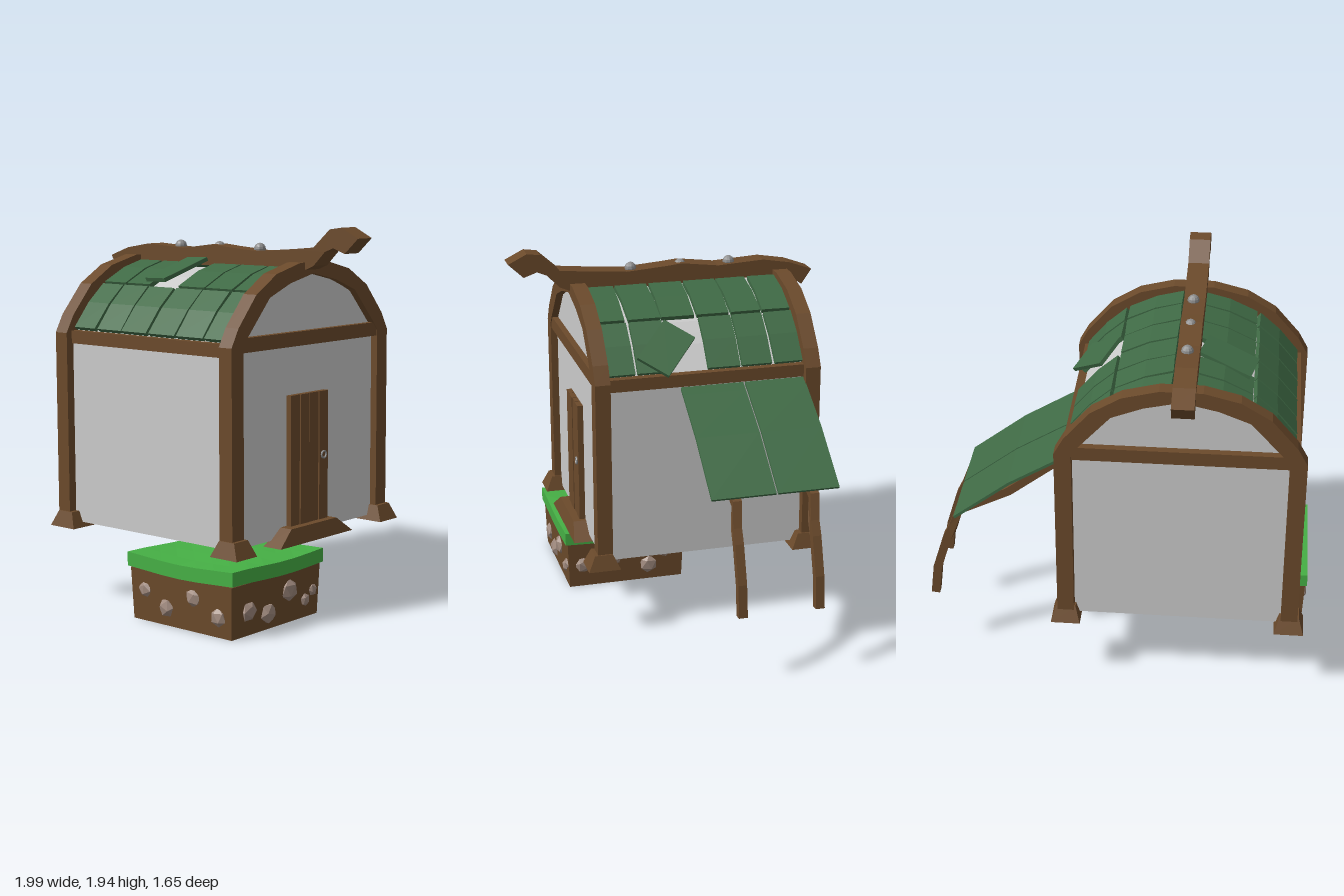
import * as THREE from 'three';

const mat = (color) => new THREE.MeshStandardMaterial({ color, flatShading: true });
const WOOD = mat(0x6b4a2b), GREEN = mat(0x3f6a45), GRASS = mat(0x46b045);
const STONE = mat(0xa08a7e), GREY = mat(0xcccccc), METAL = mat(0x8c8c8c);
const CX = -0.315; // centre line of the house

export function createModel() {
  const model = new THREE.Group();
  const add = (name, geo, material, x = 0, y = 0, z = 0, parent = model) => {
    const m = new THREE.Mesh(geo, material);
    m.name = name;
    m.position.set(x, y, z);
    parent.add(m);
    return m;
  };
  const group = (name) => {
    const g = new THREE.Group();
    g.name = name;
    model.add(g);
    return g;
  };
  const box = (w, h, d) => new THREE.BoxGeometry(w, h, d);

  // Outline extruded along z, centred on z = 0
  const slab = (pts, depth) => {
    const shape = new THREE.Shape(pts.map(([x, y]) => new THREE.Vector2(x, y)));
    return new THREE.ExtrudeGeometry(shape, { depth, bevelEnabled: false }).translate(0, 0, -depth / 2);
  };

  // Bent strip of even thickness following a path; side a..b are offsets from it
  const strip = (pts, a, b, depth) => {
    const offset = (d) => pts.map(([x, y], i) => {
      const p = pts[Math.max(i - 1, 0)], q = pts[Math.min(i + 1, pts.length - 1)];
      const l = Math.hypot(q[0] - p[0], q[1] - p[1]);
      return [x - (d * (q[1] - p[1])) / l, y + (d * (q[0] - p[0])) / l];
    });
    return slab([...offset(a), ...offset(b).reverse()], depth);
  };

  // Box whose upper face is a different size
  const frustum = (w, h, d, tw, td) => {
    const g = box(w, h, d), p = g.attributes.position;
    for (let i = 0; i < p.count; i++) {
      if (p.getY(i) > 0) p.setXYZ(i, p.getX(i) * tw / w, p.getY(i), p.getZ(i) * td / d);
    }
    g.computeVertexNormals();
    return g;
  };

  const mirrored = (half) => [...half, ...half.filter(([x]) => x > 0).reverse().map(([x, y]) => [-x, y])];

  // Walls with arched gable
  const bodyHalf = [[0.57, 0.42], [0.57, 1.38], [0.545, 1.4], [0.44, 1.525], [0.337, 1.615], [0.19, 1.68], [0, 1.72]];
  add('walls', slab(mirrored(bodyHalf), 1.11), GREY, CX, 0, -0.085);

  // Timber frames at both gables
  const outer = [[0.615, 1.4], [0.565, 1.49], [0.435, 1.64], [0.285, 1.73], [0.105, 1.775]];
  const inner = [[0.53, 1.4], [0.5, 1.44], [0.335, 1.62], [0.18, 1.68], [0, 1.72]];
  for (const [side, z] of [['front', 0.468], ['back', -0.645]]) {
    const frame = group(side + 'Frame');
    add('arch', slab([...mirrored(outer), ...mirrored(inner).reverse()], 0.08), WOOD, CX, 0, z, frame);
    add('crossBeam', box(1.09, 0.07, 0.07), WOOD, CX, 1.405, z, frame);
    for (const s of [-1, 1]) {
      add('post', box(0.085, 0.95, 0.08), WOOD, CX + s * 0.572, 0.925, z, frame);
      add('postBase', frustum(0.15, 0.08, 0.17, 0.1, 0.095), WOOD, CX + s * 0.572, 0.435, z + (z > 0 ? 0.01 : 0.015), frame);
    }
  }
  for (const s of [-1, 1]) add('sideBeam', box(0.06, 0.065, 1.05), WOOD, CX + s * 0.55, 1.378, -0.085);

  // Ridge beam with raised front end
  const ridge = [
    [0.83, 1.9], [0.73, 1.95], [0.66, 1.94], [0.56, 1.85], [0.4, 1.835], [0.2, 1.82], [0, 1.835], [-0.1, 1.845],
    [-0.3, 1.82], [-0.55, 1.835], [-0.7, 1.81], [-0.825, 1.765], [-0.77, 1.685], [-0.7, 1.735], [-0.6, 1.745],
    [0, 1.735], [0.5, 1.735], [0.56, 1.76], [0.63, 1.83], [0.68, 1.85], [0.75, 1.825],
  ];
  add('ridgeBeam', slab(ridge, 0.11).rotateY(-Math.PI / 2), WOOD, -0.33, 0, 0);
  for (const z of [-0.37, -0.1, 0.17]) {
    add('bolt', new THREE.SphereGeometry(0.031, 10, 8), METAL, -0.325, 1.828, z);
  }

  // Roof tiles, two curved courses on each slope
  const roof = group('roofTiles');
  const courses = [
    [[0.55, 1.42], [0.45, 1.54], [0.347, 1.63]],
    [[0.333, 1.637], [0.19, 1.705], [0.05, 1.742]],
  ];
  const rows = [[-0.605, -0.455], [-0.44, -0.28], [-0.27, -0.1], [-0.085, 0.09], [0.1, 0.27], [0.285, 0.425]];
  for (const s of [-1, 1]) {
    courses.forEach((path, c) => rows.forEach(([z0, z1], r) => {
      if ((s > 0 && c === 0 && r === 3) || (s < 0 && c === 1 && r === 2)) return; // slipped tiles
      const geo = strip(path.map(([x, y]) => [s * x, y]), -0.012, 0.012, z1 - z0);
      geo.computeBoundingBox();
      const mid = geo.boundingBox.getCenter(new THREE.Vector3());
      const tile = add('tile', geo.center(), GREEN, CX + mid.x, mid.y, (z0 + z1) / 2, roof);
      tile.rotation.y = 0.025 * Math.sin(r * 2.3 + c * 4 + s);
    }));
  }
  // Slipped tiles, laid along their own two edge directions
  const looseTile = (center, u, v, w, d) => {
    const X = new THREE.Vector3(...u).normalize();
    const Y = new THREE.Vector3(...v).cross(X).normalize();
    const tile = add('looseTile', box(w, 0.02, d), GREEN, ...center, roof);
    tile.setRotationFromMatrix(new THREE.Matrix4().makeBasis(X, Y, X.clone().cross(Y)));
  };
  looseTile([0.167, 1.525, 0.105], [0.16, -0.14, 0.18], [-0.09, 0.08, 0.14], 0.28, 0.185);
  looseTile([-0.525, 1.72, -0.215], [0.265, 0.1, 0.06], [-0.06, 0, 0.17], 0.28, 0.175);

  // Awning on two crooked supports
  const awning = group('awning');
  const sheet = [[0.25, 1.335], [0.3, 1.308], [0.54, 1.163], [0.825, 0.945]];
  for (const [z, d] of [[-0.449, 0.318], [-0.114, 0.332]]) {
    add('awningSheet', strip(sheet, -0.007, 0.007, d), GREEN, 0, 0, z, awning);
  }
  const leg = [[0.26, 1.275], [0.56, 1.045], [0.82, 0.915], [0.86, 0.8], [0.895, 0.73], [0.955, 0.54], [0.975, 0.375]];
  for (const z of [-0.065, -0.465]) {
    const geo = strip(leg, -0.022, 0.022, 0.045), p = geo.attributes.position;
    for (let i = 0; i < p.count; i++) {
      if (p.getY(i) > 0.86) p.setZ(i, p.getZ(i) - 0.012); // slight sideways kink
    }
    geo.computeVertexNormals();
    add('awningSupport', geo, WOOD, 0, 0, z, awning);
  }

  // Plank door with ring handle and step
  const door = group('door');
  for (let i = 0; i < 4; i++) {
    add('plank', box(0.069, 0.66, 0.03 + (i % 2) * 0.006), WOOD, -0.444 + i * 0.074, 0.798, 0.483, door);
  }
  add('doorBacking', box(0.28, 0.65, 0.012), mat(0x3a2614), -0.333, 0.798, 0.475, door);
  add('handle', new THREE.TorusGeometry(0.018, 0.005, 6, 14), METAL, -0.225, 0.805, 0.505, door);
  add('step', frustum(0.575, 0.08, 0.11, 0.36, 0.07), WOOD, -0.345, 0.435, 0.505, door);

  // Block of earth with grass and stones
  const earth = group('earthBlock');
  const ex = -0.645, ez = 0.215;
  add('soil', frustum(0.65, 0.26, 0.645, 0.67, 0.665), WOOD, ex, 0.14, ez, earth);
  const turf = box(0.69, 0.07, 0.69).toNonIndexed();
  turf.dispose();
  const wavy = new THREE.BoxGeometry(0.69, 0.07, 0.69, 6, 1, 6), wp = wavy.attributes.position;
  for (let i = 0; i < wp.count; i++) {
    const x = wp.getX(i), z = wp.getZ(i);
    wp.setY(i, wp.getY(i) + 0.009 * Math.sin(x * 8 + 1) * Math.cos(z * 7) + 0.004);
  }
  wavy.computeVertexNormals();
  add('grass', wavy, GRASS, ex, 0.302, ez, earth);

  // Stones: offset along the face, height, radius
  const faces = [
    [[-0.205, 0.13, 0.053], [-0.06, 0.09, 0.055], [0.1, 0.175, 0.06], [0.225, 0.1, 0.035], [0.285, 0.14, 0.033]],
    [[-0.245, 0.14, 0.05], [-0.065, 0.16, 0.043], [0.13, 0.1, 0.055], [0.22, 0.185, 0.052]],
    [[-0.23, 0.1, 0.05], [-0.1, 0.18, 0.045], [0.06, 0.11, 0.055], [0.23, 0.16, 0.05]],
    [[-0.24, 0.17, 0.045], [-0.1, 0.1, 0.05], [0.08, 0.18, 0.05], [0.24, 0.11, 0.05]],
  ];
  faces.forEach((stones, f) => {
    const side = new THREE.Group();
    side.name = 'stones';
    side.position.set(ex, 0, ez);
    side.rotation.y = f * Math.PI / 2;
    earth.add(side);
    stones.forEach(([x, y, r], i) => {
      const stone = add('stone', new THREE.IcosahedronGeometry(r, 0), STONE, x, y, 0.325, side);
      stone.scale.z = 0.55;
      stone.rotation.z = i * 1.3 + f;
    });
  });

  return model;
}
